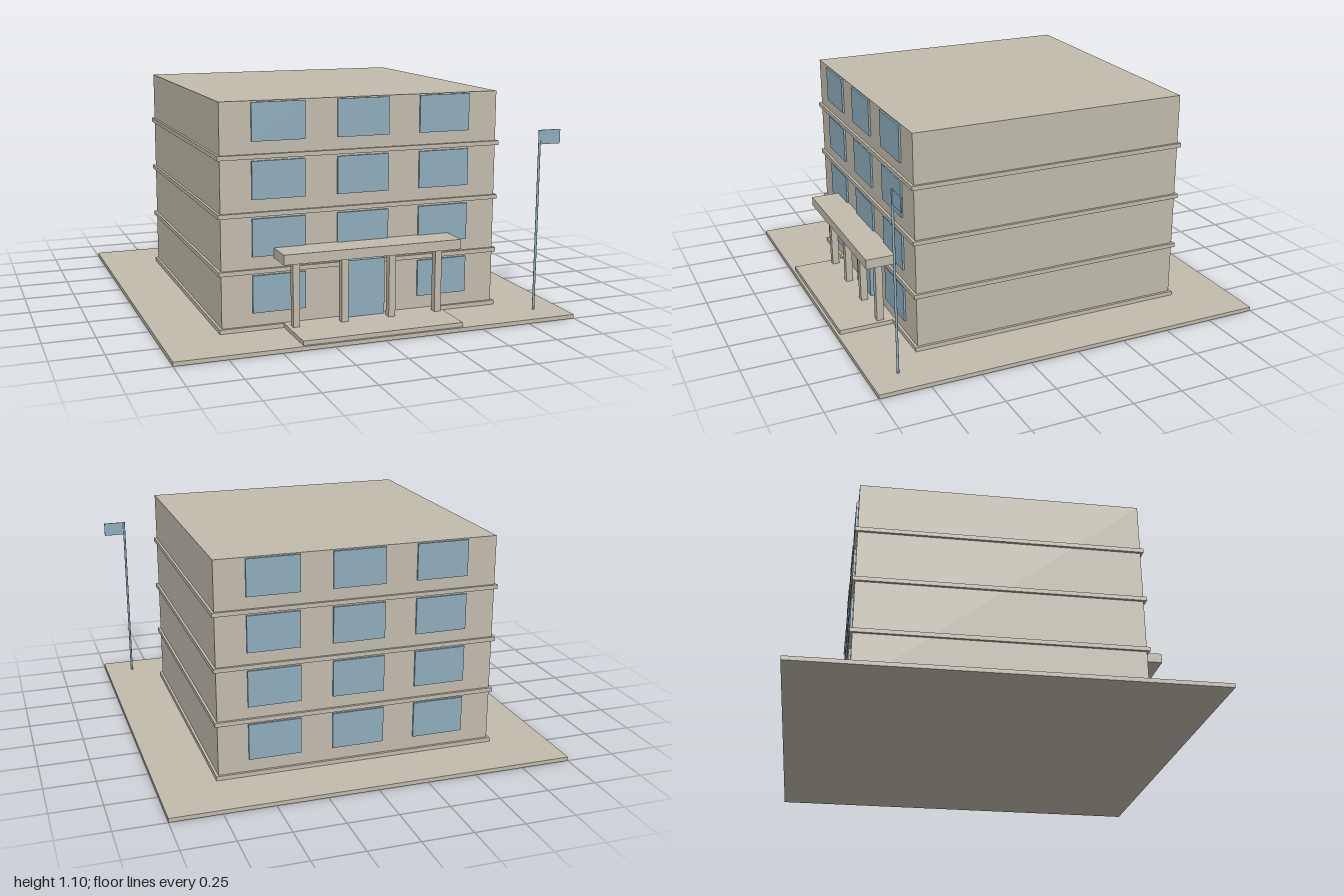
import * as THREE from 'three';

export function createModel() {
  const model = new THREE.Group();
  model.name = 'officeBuilding';

  const concrete = new THREE.MeshStandardMaterial({ color: 0xc2bcad });
  concrete.name = 'concrete';
  const glass = new THREE.MeshStandardMaterial({ color: 0x8eadbd });
  glass.name = 'blueGlass';

  // Box given by its extents on each axis
  function box(name, material, [x0, x1], [y0, y1], [z0, z1]) {
    const mesh = new THREE.Mesh(new THREE.BoxGeometry(x1 - x0, y1 - y0, z1 - z0), material);
    mesh.position.set((x0 + x1) / 2, (y0 + y1) / 2, (z0 + z1) / 2);
    mesh.name = name;
    model.add(mesh);
    return mesh;
  }

  // Ground slab and main block
  box('groundSlab', concrete, [-1, 1], [0, 0.02], [-1, 1]);
  box('mainBlock', concrete, [-0.7, 0.7], [0.02, 1.1], [-0.7, 0.7]);

  // Four floors: a projecting band, then windows on the front and back
  const floorHeight = 0.27;
  for (let floor = 0; floor < 4; floor++) {
    const y = 0.02 + floor * floorHeight + (floor ? 0.004 : 0);
    box('floorBand', concrete, [-0.713, 0.713], [y, y + 0.021], [-0.713, 0.713]);
    const sill = 0.104 + floor * floorHeight;
    for (const x of [-0.42, 0, 0.42]) {
      for (const side of [-1, 1]) {
        if (floor === 0 && x === 0 && side === 1) continue; // place of the door
        const z = side > 0 ? [0.7, 0.7095] : [-0.7095, -0.7];
        box('window', glass, [x - 0.13, x + 0.13], [sill, sill + 0.18], z);
      }
    }
  }

  // Entrance: door, step, canopy and posts
  box('door', glass, [-0.107, 0.107], [0.04, 0.32], [0.7, 0.727]);
  box('entranceStep', concrete, [-0.4, 0.4], [0.02, 0.041], [0.7, 0.987]);
  box('canopy', concrete, [-0.447, 0.447], [0.363, 0.411], [0.7, 0.856]);
  for (const x of [-0.363, -0.121, 0.121, 0.363]) {
    box('canopyPost', concrete, [x - 0.017, x + 0.017], [0.04, 0.363], [0.753, 0.789]);
  }

  // Flagpole with its flag
  const pole = new THREE.Mesh(new THREE.CylinderGeometry(0.006, 0.006, 0.9, 12), glass);
  pole.position.set(0.857, 0.47, 0.857);
  pole.name = 'flagpole';
  model.add(pole);
  box('flag', glass, [0.86, 0.968], [0.85, 0.92], [0.854, 0.86]);

  return model;
}
